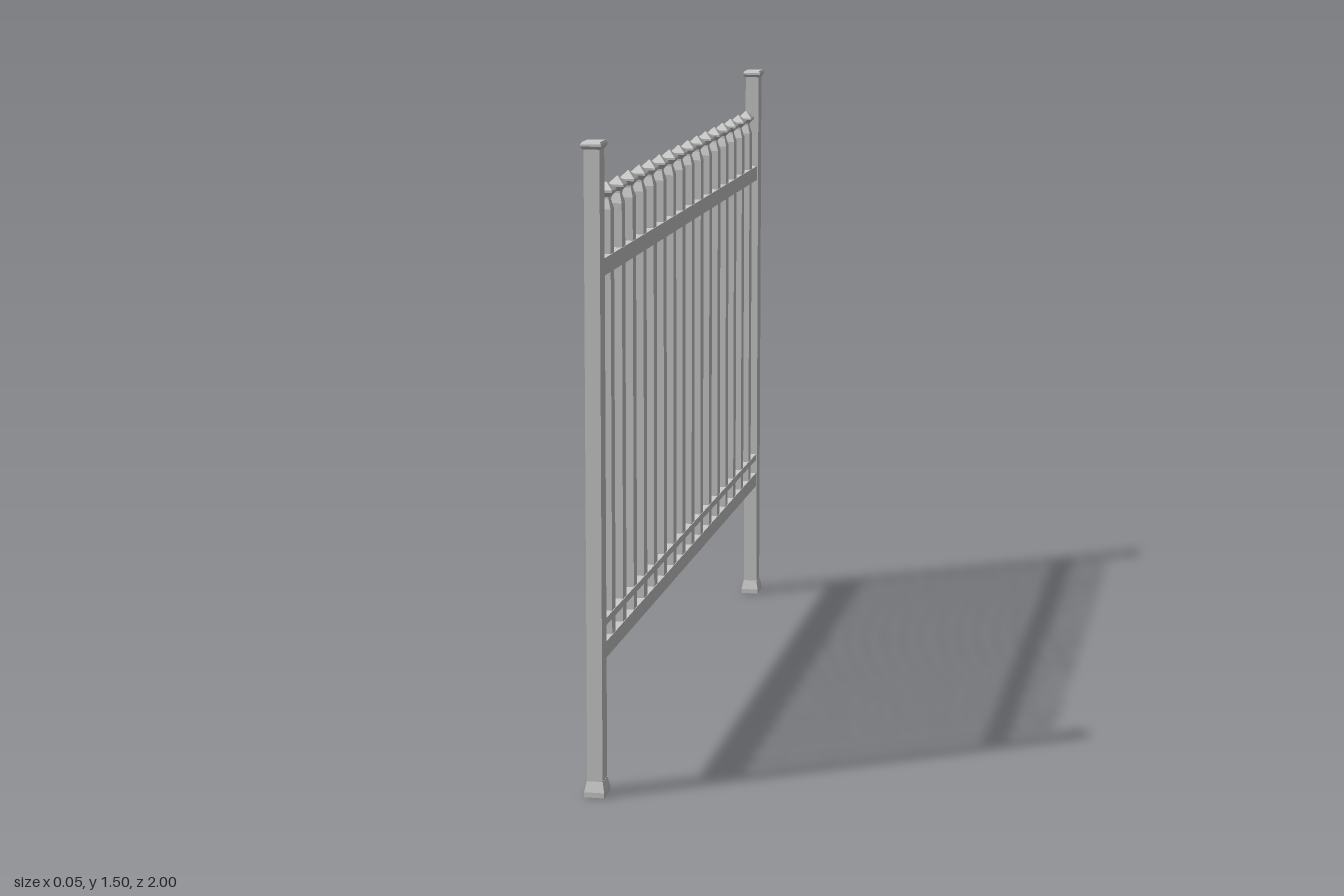
import * as THREE from 'three';

const material = new THREE.MeshStandardMaterial({ color: 0xcccccc, flatShading: true, side: THREE.DoubleSide });

// Rectangular column from a few [y, widthX, widthZ] sections, closed at both ends
function column(sections) {
  const pos = [];
  const idx = [];
  for (const [y, w, d] of sections) {
    for (const [sx, sz] of [[1, 1], [1, -1], [-1, -1], [-1, 1]]) pos.push(sx * w / 2, y, sz * d / 2);
  }
  for (let s = 0; s < sections.length - 1; s++) {
    for (let i = 0; i < 4; i++) {
      const a = s * 4 + i, b = s * 4 + (i + 1) % 4;
      idx.push(a, b, b + 4, a, b + 4, a + 4);
    }
  }
  const t = (sections.length - 1) * 4;
  idx.push(0, 2, 1, 0, 3, 2, t, t + 1, t + 2, t, t + 2, t + 3);
  const g = new THREE.BufferGeometry();
  g.setAttribute('position', new THREE.Float32BufferAttribute(pos, 3));
  g.setIndex(idx);
  const flat = g.toNonIndexed();
  flat.computeVertexNormals();
  return flat;
}

export function createModel() {
  const fence = new THREE.Group();
  fence.name = 'fence';

  const add = (name, geometry, y, z, parent = fence) => {
    const mesh = new THREE.Mesh(geometry, material);
    mesh.name = name;
    mesh.position.set(0, y, z);
    parent.add(mesh);
  };

  // End posts with flared foot and flat cap
  const shaft = column([[0.03, 0.036, 0.046], [1.483, 0.036, 0.046]]);
  const foot = column([[0, 0.047, 0.062], [0.012, 0.047, 0.062], [0.036, 0.037, 0.047]]);
  const cap = column([[1.48, 0.038, 0.05], [1.487, 0.047, 0.064], [1.492, 0.047, 0.064], [1.497, 0.04, 0.055]]);
  for (const side of [1, -1]) {
    const post = new THREE.Group();
    post.name = side > 0 ? 'frontPost' : 'backPost';
    post.position.z = side * 0.968;
    fence.add(post);
    add('postShaft', shaft, 0, 0, post);
    add('postFoot', foot, 0, 0, post);
    add('postCap', cap, 0, 0, post);
  }

  // Horizontal rails between the posts
  for (const [name, y0, y1] of [['bottomRail', 0.314, 0.352], ['thinRail', 0.39, 0.407], ['topRail', 1.193, 1.232]]) {
    add(name, new THREE.BoxGeometry(0.031, y1 - y0, 1.93), (y0 + y1) / 2, 0);
  }

  // Pickets with tapered neck and pyramid finial
  const picket = column([[0.34, 0.028, 0.035], [1.333, 0.028, 0.035], [1.355, 0.016, 0.02], [1.363, 0.016, 0.02]]);
  const finial = column([[1.36, 0.018, 0.022], [1.371, 0.038, 0.046], [1.376, 0.038, 0.046], [1.394, 0.002, 0.002]]);
  const count = 16;
  for (let i = 0; i < count; i++) {
    const z = 0.852 - i * (2 * 0.852) / (count - 1);
    add('picket', picket, 0, z);
    add('picketFinial', finial, 0, z);
  }
  return fence;
}
